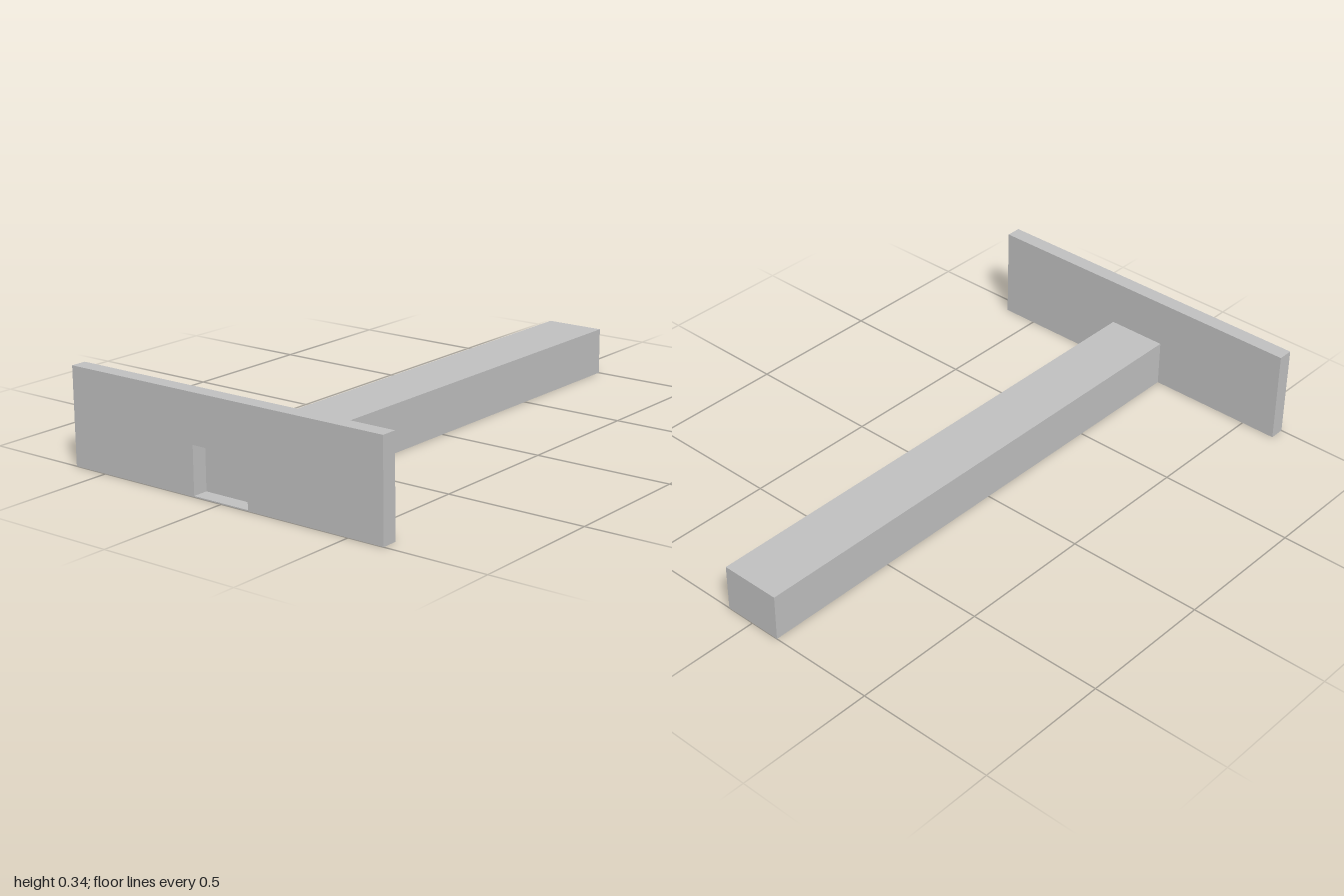
import * as THREE from 'three';

export function createModel() {
  const model = new THREE.Group();
  const grey = new THREE.MeshStandardMaterial({ color: 0xc0c0c0 });
  grey.name = 'light grey';

  const halfWidth = 0.632, height = 0.34;
  const left = -0.113, right = 0.109, beamTop = 0.17; // beam section
  const joint = 0.944; // z where beam meets plate
  const floor = 0.004; // thin sill under the opening

  // Upright front plate with a rectangular opening as wide as the beam
  const outline = new THREE.Shape();
  outline.moveTo(-halfWidth, 0);
  outline.lineTo(halfWidth, 0);
  outline.lineTo(halfWidth, height);
  outline.lineTo(-halfWidth, height);
  outline.closePath();
  const opening = new THREE.Path();
  opening.moveTo(left, floor);
  opening.lineTo(left, beamTop);
  opening.lineTo(right, beamTop);
  opening.lineTo(right, floor);
  opening.closePath();
  outline.holes.push(opening);
  const plate = new THREE.Mesh(
    new THREE.ExtrudeGeometry(outline, { depth: 1 - joint, bevelEnabled: false }), grey);
  plate.position.z = joint;
  plate.name = 'frontPlate';
  model.add(plate);

  // Long beam behind the plate; its end closes the back of the opening
  const beam = new THREE.Mesh(
    new THREE.BoxGeometry(right - left, beamTop, joint + 1), grey);
  beam.position.set((left + right) / 2, beamTop / 2, (joint - 1) / 2);
  beam.name = 'beam';
  model.add(beam);

  return model;
}
